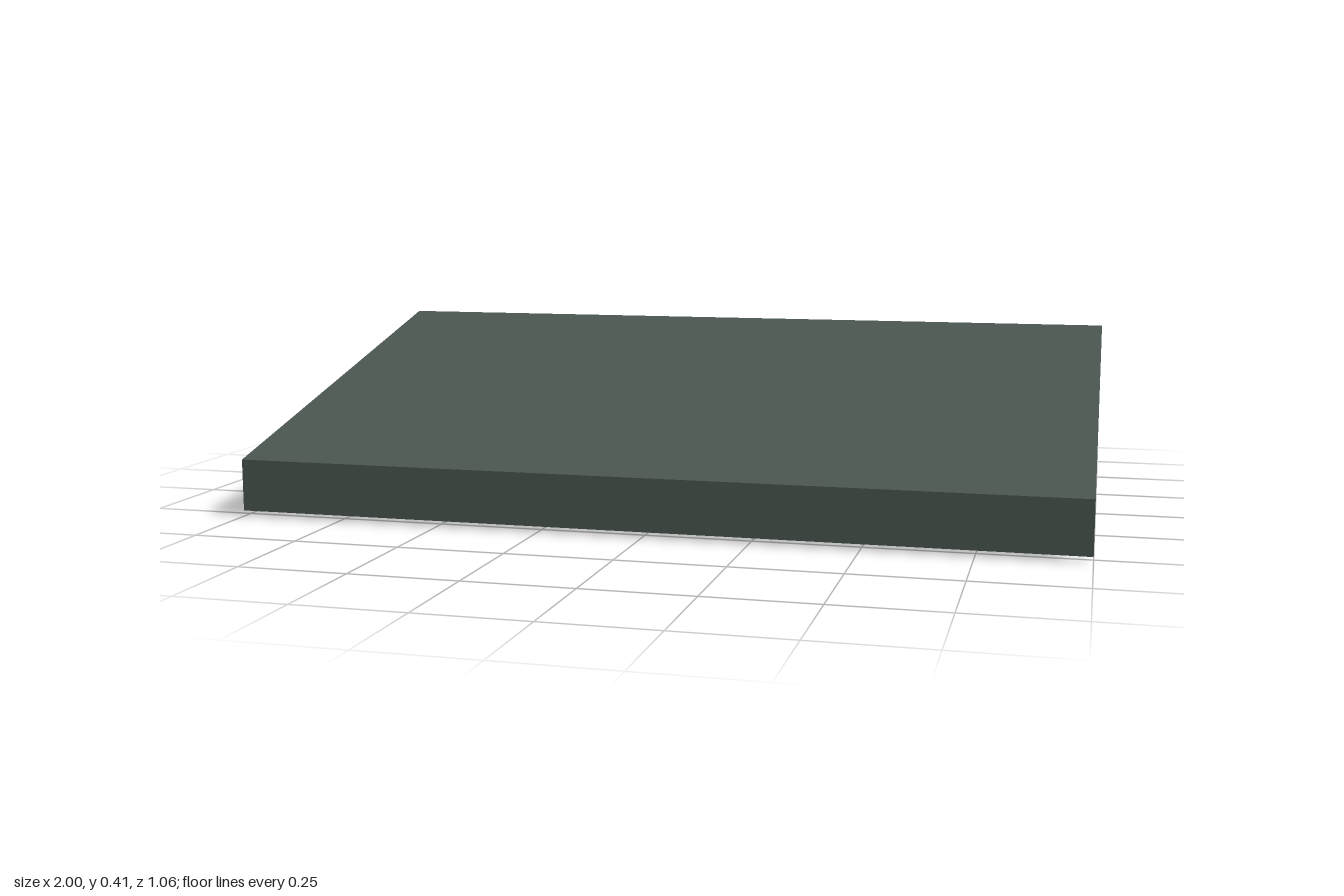
import * as THREE from 'three';

// Extrudes a side profile of [z, y] points along x, centred on x = 0
function sidePanel(profile, width, material, name) {
  const shape = new THREE.Shape(profile.map(([z, y]) => new THREE.Vector2(-z, y)));
  const geometry = new THREE.ExtrudeGeometry(shape, { depth: width, bevelEnabled: false });
  geometry.translate(0, 0, -width / 2);
  geometry.rotateY(Math.PI / 2);
  const mesh = new THREE.Mesh(geometry, material);
  mesh.name = name;
  return mesh;
}

export function createModel() {
  const model = new THREE.Group();
  model.name = 'awning';
  const slate = new THREE.MeshStandardMaterial({ name: 'darkSlate', color: 0x4a5651 });

  // Sloping roof slab with a lip turned down at the front
  model.add(sidePanel([
    [0.532, 0.014], [0.532, 0.139], [-0.532, 0.413],
    [-0.532, 0.353], [0.497, 0.087], [0.497, 0.014],
  ], 2, slate, 'roofWithFrontLip'));

  // Pair of triangular brackets just under the slab
  for (const side of [-1, 1]) {
    const bracket = sidePanel([[0.448, 0.089], [-0.482, 0.313], [-0.482, 0]],
      0.03, slate, side > 0 ? 'leftBracket' : 'rightBracket');
    bracket.position.x = side * 0.825;
    model.add(bracket);
  }
  return model;
}
